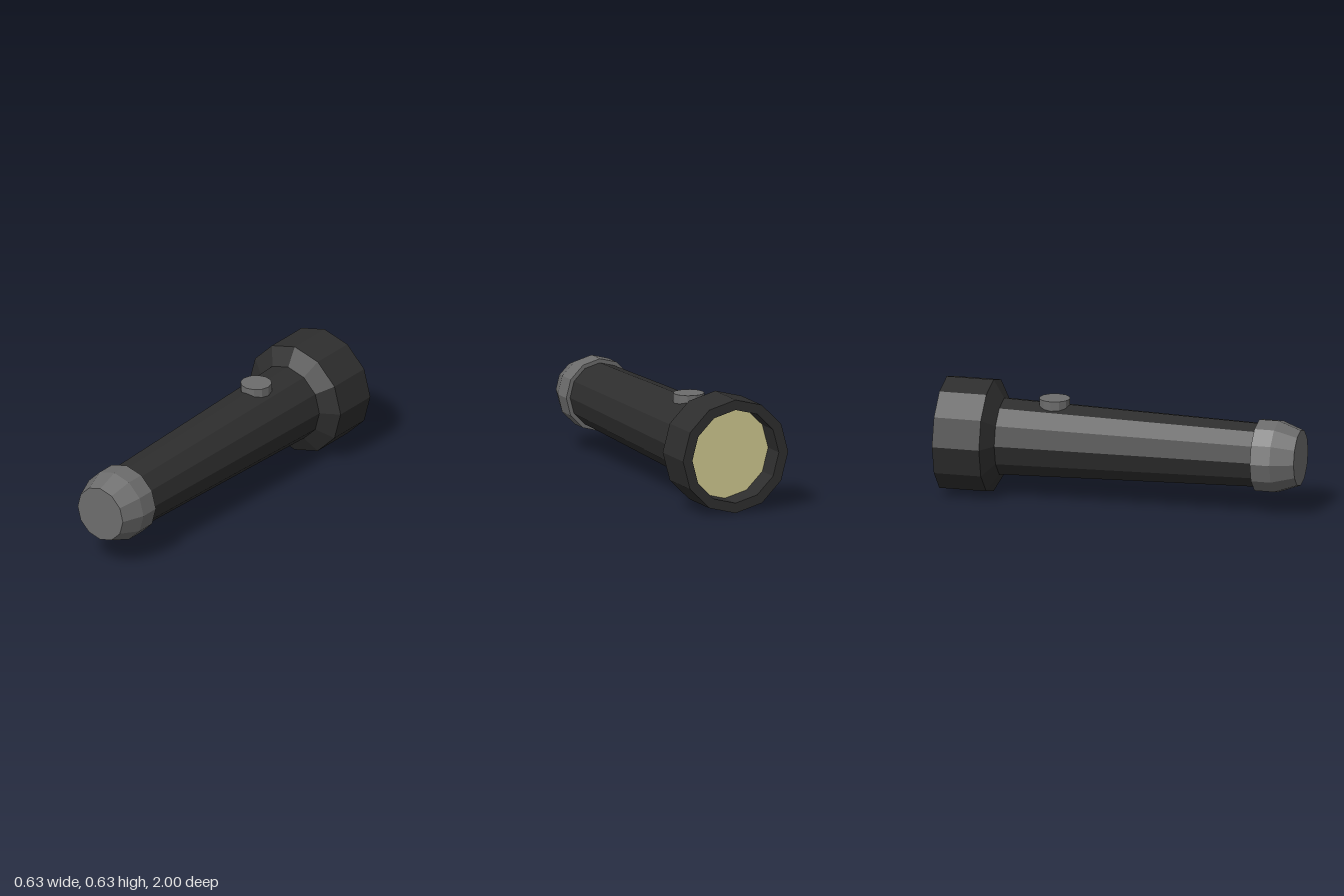
import * as THREE from 'three';

const AXIS_Y = 0.317;
const SIDES = 12;

const material = (color) => new THREE.MeshStandardMaterial({ color, flatShading: true });

// Twelve-sided turned part along z; profile is [radius, z] pairs
function turned(name, profile, mat) {
  const points = profile.map(([r, z]) => new THREE.Vector2(r, z));
  const geometry = new THREE.LatheGeometry(points, SIDES);
  geometry.rotateX(Math.PI / 2);
  const mesh = new THREE.Mesh(geometry, mat);
  mesh.name = name;
  mesh.position.y = AXIS_Y;
  return mesh;
}

export function createModel() {
  const group = new THREE.Group();
  group.name = 'flashlight';
  const black = material(0x2e2e2e);
  const grey = material(0x6c6c6c);
  const glow = material(0xd0c990);

  // Tapered handle
  group.add(turned('handle', [[0.216, -0.675], [0.179, 0.775]], black));

  // Flared head with a recessed opening
  group.add(turned('head', [
    [0.26, -0.86], [0.26, -1], [0.316, -1], [0.316, -0.735], [0.215, -0.675],
  ], black));

  // Lens at the bottom of the recess
  group.add(turned('lens', [[0, -0.86], [0.26, -0.86]], glow));

  // Chamfered tail cap
  group.add(turned('tailCap', [
    [0.17, 0.765], [0.202, 0.765], [0.202, 0.875], [0.156, 1], [0, 1],
  ], grey));

  // Round switch on top of the handle
  const button = new THREE.Mesh(new THREE.CylinderGeometry(0.086, 0.086, 0.055, SIDES), grey);
  button.name = 'switchButton';
  button.position.set(0, 0.528, -0.39);
  group.add(button);

  return group;
}
